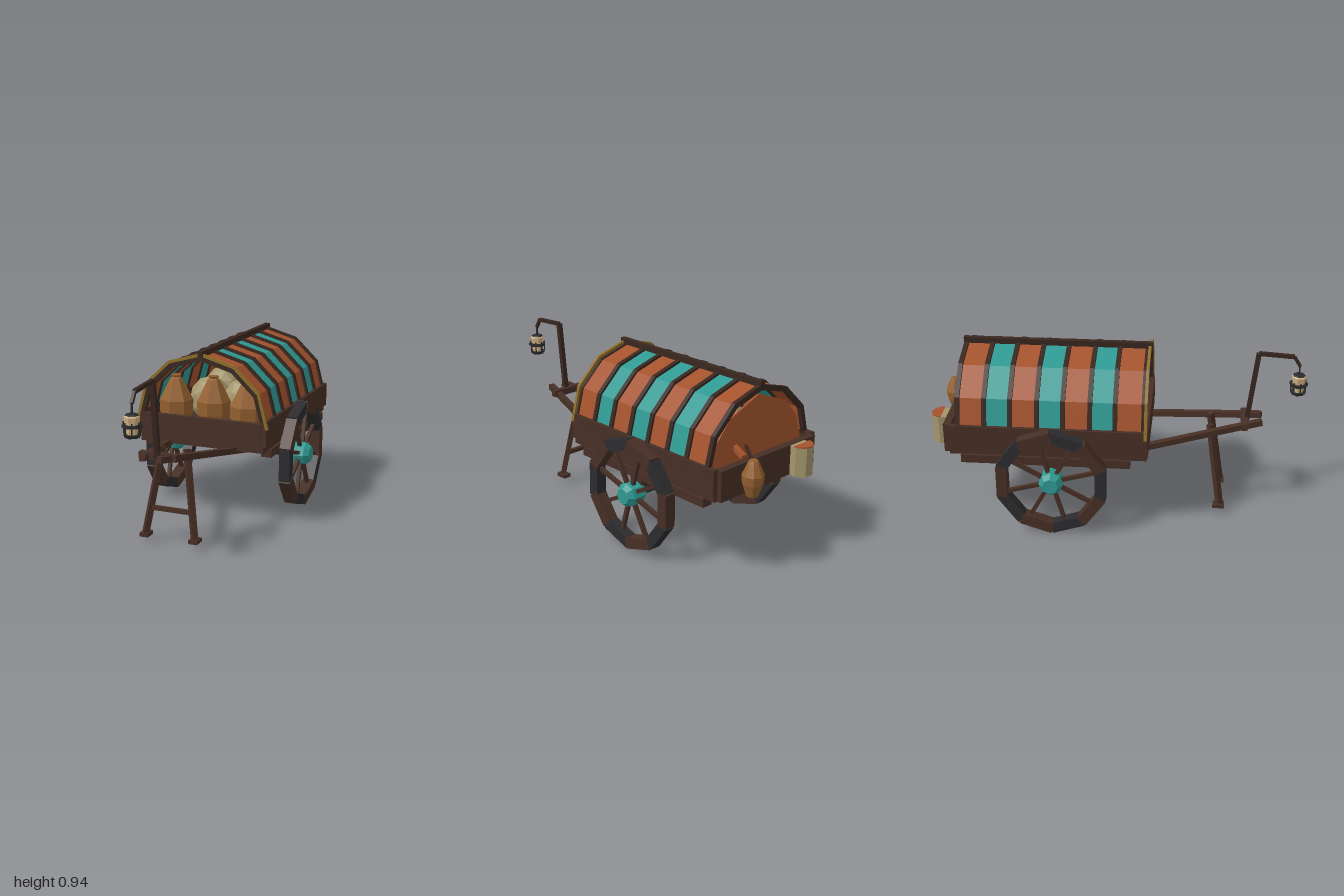
import * as THREE from 'three';

const mat = (name, color) => {
  const m = new THREE.MeshStandardMaterial({ color, flatShading: true });
  m.name = name;
  return m;
};

export function createModel() {
  const root = new THREE.Group();
  root.name = 'coveredHandcart';
  const wood = mat('darkWood', 0x472f25);
  const ribWood = mat('ribWood', 0x38271f);
  const iron = mat('iron', 0x2c2c2e);
  const teal = mat('teal', 0x2f9a93);
  const orange = mat('rustCloth', 0xa5532d);
  const gold = mat('goldTrim', 0x8f6e2b);
  const sackCloth = mat('sackCloth', 0xa3956c);
  const clay = mat('clay', 0x94602f);
  const glass = mat('lanternGlass', 0xd0b182);

  const add = (name, geo, material, x = 0, y = 0, z = 0) => {
    const m = new THREE.Mesh(geo, material);
    m.name = name;
    m.position.set(x, y, z);
    root.add(m);
    return m;
  };
  // box given by its min and max corners
  const box = (name, material, x0, x1, y0, y1, z0, z1) =>
    add(name, new THREE.BoxGeometry(x1 - x0, y1 - y0, z1 - z0), material,
      (x0 + x1) / 2, (y0 + y1) / 2, (z0 + z1) / 2);
  // square bar between two points
  const beam = (name, material, a, b, w, h = w) => {
    const A = new THREE.Vector3(...a), B = new THREE.Vector3(...b);
    const m = add(name, new THREE.BoxGeometry(w, h, A.distanceTo(B)), material);
    m.position.copy(A).add(B).multiplyScalar(0.5);
    m.lookAt(B);
    return m;
  };
  const lathe = (name, material, pts, sides, x, y, z) =>
    add(name, new THREE.LatheGeometry(pts.map(p => new THREE.Vector2(...p)), sides), material, x, y, z);

  // Canopy: every hoop and cloth strip is a scaled slice of one arch profile
  const half = [[0.38, 0.555], [0.33, 0.745], [0.19, 0.878], [0, 0.932]];
  const profile = [...half, ...half.slice(0, 3).reverse().map(([x, y]) => [-x, y])];
  const scaled = s => profile.map(([x, y]) => new THREE.Vector2(x * s, 0.5 + (y - 0.5) * s));
  const arch = (name, material, outer, inner, z0, z1) => {
    const shape = new THREE.Shape([...scaled(outer), ...scaled(inner).reverse()]);
    add(name, new THREE.ExtrudeGeometry(shape, { depth: z1 - z0, bevelEnabled: false }), material, 0, 0, z0);
  };
  const joints = [0.15, 0, -0.13, -0.27, -0.405, -0.545, -0.68, -0.82];
  for (let i = 0; i < 7; i++) {
    arch('canopyStripe', i % 2 ? teal : orange, 0.95, 0.93, joints[i + 1], joints[i]);
    arch('canopyRib', ribWood, 0.98, 0.915, joints[i + 1] - 0.012, joints[i + 1] + 0.012);
  }
  arch('frontHoop', ribWood, 0.965, 0.9, 0.135, 0.16);
  arch('goldTrim', gold, 1, 0.962, 0.15, 0.166);
  box('ridgePole', ribWood, -0.014, 0.014, 0.912, 0.943, -0.835, 0.175);

  // Cloth closing the rear, lower than the canopy
  const backHalf = [[0.33, 0.55], [0.29, 0.69], [0.205, 0.79]];
  const back = new THREE.Shape([...backHalf, [0, 0.873], ...backHalf.slice().reverse().map(([x, y]) => [-x, y])]
    .map(p => new THREE.Vector2(...p)));
  add('rearCloth', new THREE.ExtrudeGeometry(back, { depth: 0.01, bevelEnabled: false }), orange, 0, 0, -0.815);

  // Cart bed
  box('bedFloor', wood, -0.345, 0.345, 0.425, 0.45, -0.87, 0.165);
  box('frontBoard', wood, -0.342, 0.342, 0.43, 0.583, 0.14, 0.17);
  box('rearBoard', wood, -0.342, 0.342, 0.43, 0.59, -0.9, -0.86);
  for (const s of [-1, 1]) {
    const mx = (a, b) => s > 0 ? [a, b] : [-b, -a];
    box('sideBoard', wood, ...mx(0.34, 0.37), 0.46, 0.595, -0.875, 0.165);
    box('sideSill', wood, ...mx(0.325, 0.355), 0.425, 0.48, -0.87, 0.165);
    box('frameRail', wood, ...mx(0.312, 0.37), 0.383, 0.428, -0.81, 0.08);
    box('axleBracket', wood, ...mx(0.325, 0.365), 0.3, 0.4, -0.37, -0.29);
  }

  // Axle and wheels
  const wy = 0.305, wz = -0.33;
  add('axle', new THREE.CylinderGeometry(0.027, 0.027, 0.74, 6), iron, 0, wy, wz).rotation.z = Math.PI / 2;
  for (const s of [-1, 1]) {
    for (let i = 0; i < 10; i++) {
      const a = i * Math.PI / 5, c = Math.cos(a), n = Math.sin(a);
      const w = i % 2 ? 0.064 : 0.06;
      const seg = add('wheelRim', new THREE.BoxGeometry(w, 0.178, 0.058), i % 2 ? wood : iron,
        s * 0.4, wy + n * 0.259, wz + c * 0.259);
      seg.rotation.x = -a;
    }
    for (let i = 0; i < 8; i++) {
      const a = (i + 0.35) * Math.PI / 4, c = Math.cos(a), n = Math.sin(a);
      beam('wheelSpoke', wood, [s * 0.4, wy + n * 0.04, wz + c * 0.04],
        [s * 0.4, wy + n * 0.25, wz + c * 0.25], 0.02);
    }
    const hub = lathe('wheelHub', teal, [[0, -0.065], [0.05, -0.065], [0.064, -0.04], [0.064, 0.03],
      [0.042, 0.057], [0, 0.057]], 8, s * 0.4, wy, wz);
    hub.rotation.z = -s * Math.PI / 2;
  }

  // Pulling shafts and folding stand
  for (const s of [-1, 1]) {
    beam('shaft', wood, [s * 0.238, 0.4, -0.01], [s * 0.045, 0.52, 0.765], 0.032);
    beam('standLeg', wood, [s * 0.068, 0.505, 0.49], [s * 0.138, 0.05, 0.557], 0.03);
    box('standFoot', wood, s * 0.138 - 0.024, s * 0.138 + 0.024, 0.036, 0.056, 0.52, 0.583);
  }
  beam('standRung', wood, [-0.115, 0.187, 0.535], [0.115, 0.187, 0.535], 0.022);
  box('shaftCrossbar', wood, -0.102, 0.102, 0.492, 0.528, 0.655, 0.69);

  // Lantern pole
  const pole = [[0, 0.5, 0.685], [0, 0.9, 0.73], [0, 0.888, 0.915], [0, 0.837, 0.947]];
  [0.025, 0.02, 0.016].forEach((w, i) => beam('lanternPole', ribWood, pole[i], pole[i + 1], w));
  beam('lanternHook', iron, pole[3], [0, 0.78, 0.947], 0.008);

  // Lantern
  const ly = 0.73, lz = 0.947;
  lathe('lanternGlass', glass, [[0, -0.045], [0.028, -0.045], [0.034, 0], [0.04, 0.045], [0.033, 0.052], [0, 0.052]], 7, 0, ly, lz);
  add('lanternCap', new THREE.CylinderGeometry(0.03, 0.034, 0.006, 7), iron, 0, ly + 0.054, lz);
  add('lanternBand', new THREE.CylinderGeometry(0.05, 0.05, 0.014, 7), iron, 0, ly + 0.002, lz);
  add('lanternBase', new THREE.CylinderGeometry(0.042, 0.036, 0.016, 7), iron, 0, ly - 0.047, lz);
  for (let i = 0; i < 7; i++) {
    const a = (i + 0.5) * Math.PI * 2 / 7, x = Math.sin(a), z = Math.cos(a);
    beam('lanternBar', iron, [x * 0.038, ly - 0.05, lz + z * 0.038], [x * 0.042, ly + 0.02, lz + z * 0.042], 0.006);
  }

  // Cargo inside: clay jars and sacks
  const jar = [[0, 0], [0.06, 0], [0.092, 0.13], [0.094, 0.2], [0.035, 0.315], [0.024, 0.325], [0.03, 0.335], [0, 0.335]];
  [[-0.205, 0.03], [0, -0.01], [0.21, 0.03]].forEach(([x, z]) => lathe('clayJar', clay, jar, 7, x, 0.442, z));
  [[-0.1, -0.2, 0.11], [0.09, -0.22, 0.11], [-0.12, -0.45, 0.12], [0.13, -0.5, 0.12]].forEach(([x, z, r], i) => {
    const sack = add('sack', new THREE.IcosahedronGeometry(r, 1), sackCloth, x, 0.6, z);
    sack.scale.set(1.1, 1.2, 1);
    sack.rotation.y = i;
  });

  // Goods hung on the rear board
  lathe('hangingJar', clay, [[0, 0], [0.03, 0], [0.052, 0.065], [0.056, 0.11], [0.03, 0.17], [0.022, 0.185], [0, 0.185]],
    8, 0.17, 0.43, -0.944);
  beam('hangingJarPeg', orange, [0.16, 0.64, -0.81], [0.17, 0.61, -0.88], 0.025);
  beam('hangingJarStrap', ribWood, [0.1, 0.635, -0.83], [0.17, 0.6, -0.944], 0.014);
  add('hangingBucket', new THREE.CylinderGeometry(0.062, 0.062, 0.155, 7), sackCloth, -0.205, 0.51, -0.928);
  add('bucketFilling', new THREE.CylinderGeometry(0.06, 0.06, 0.006, 7, 1, false, Math.PI / 2, Math.PI),
    orange, -0.205, 0.59, -0.928);
  return root;
}
